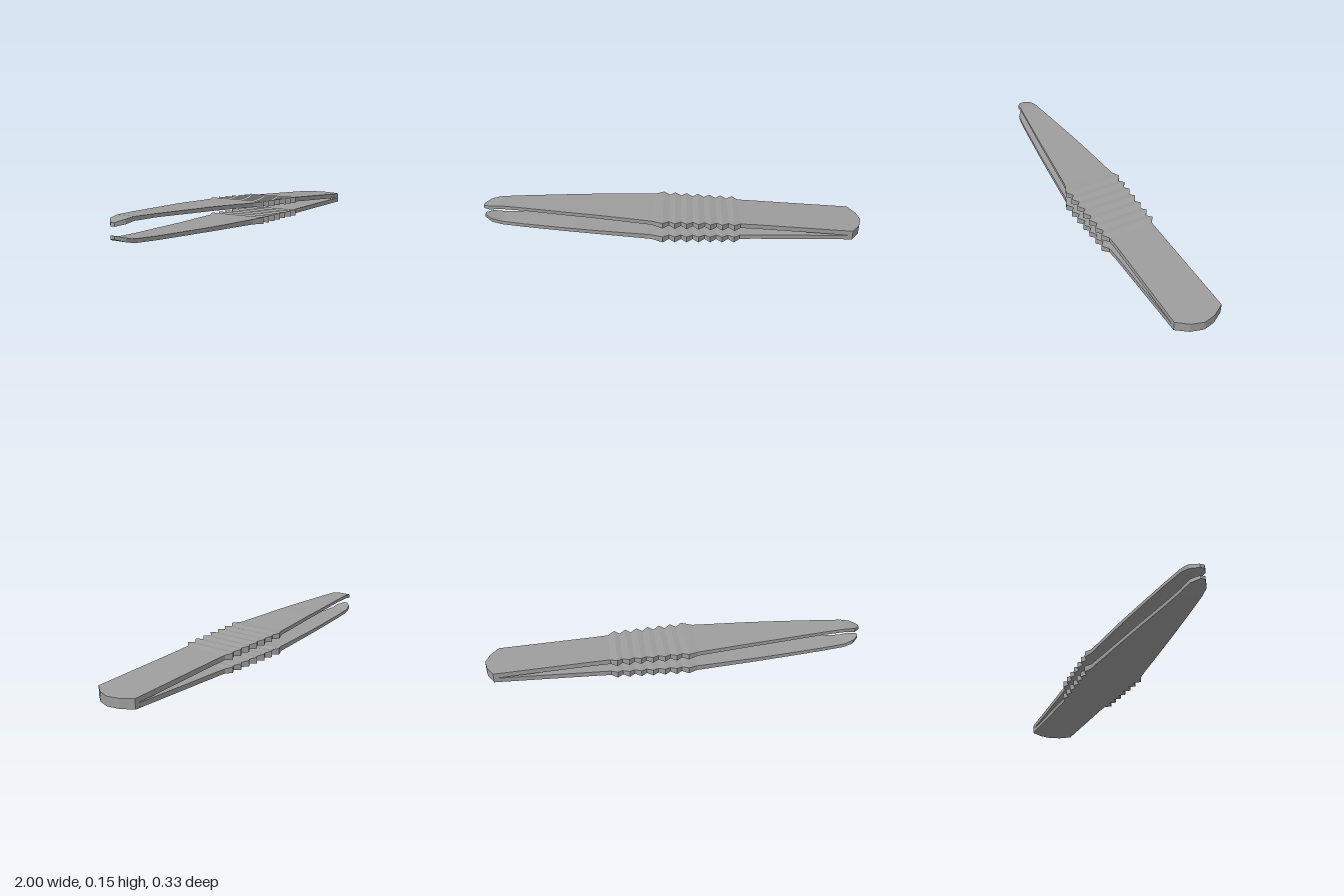
import * as THREE from 'three';

const material = new THREE.MeshStandardMaterial({ color: 0x9d9d9d, flatShading: true });

// Piecewise-linear lookup in a list of [x, value] points
function at(points, x) {
  for (let i = 1; i < points.length; i++) {
    const [x0, v0] = points[i - 1], [x1, v1] = points[i];
    if (x <= x1) return v0 + (v1 - v0) * (x - x0) / (x1 - x0);
  }
  return points[points.length - 1][1];
}

// Solid through rectangular sections { x, back, front, bottom, top, skew }
function loft(name, sections) {
  const pos = [], index = [];
  for (const s of sections) {
    const xb = s.x - (s.skew || 0);
    pos.push(s.x, s.bottom, s.front, xb, s.bottom, s.back, xb, s.top, s.back, s.x, s.top, s.front);
  }
  for (let i = 0; i < sections.length - 1; i++) {
    for (let k = 0; k < 4; k++) {
      const a = i * 4 + k, b = i * 4 + (k + 1) % 4;
      index.push(a, b, a + 4, b, b + 4, a + 4);
    }
  }
  const e = (sections.length - 1) * 4;
  index.push(0, 3, 2, 0, 2, 1, e, e + 1, e + 2, e, e + 2, e + 3);
  const geo = new THREE.BufferGeometry();
  geo.setAttribute('position', new THREE.Float32BufferAttribute(pos, 3));
  geo.setIndex(index);
  const flat = geo.toNonIndexed();
  flat.computeVertexNormals();
  const mesh = new THREE.Mesh(flat, material);
  mesh.name = name;
  return mesh;
}

// Plan outline shared by both arms
const back = [[-1, 0.035], [-0.97, 0.002], [-0.93, -0.01], [-0.55, -0.071], [-0.12, -0.136], [0.37, -0.139], [0.94, -0.166]];
const front = [[-1, 0.058], [-0.96, 0.083], [-0.55, 0.114], [-0.1, 0.142], [-0.01, 0.135], [0.43, 0.1], [0.95, 0.08]];

// Side profiles of the two arms
const upper = {
  top: [[-1, 0.132], [-0.96, 0.143], [-0.91, 0.149], [-0.78, 0.147], [-0.4, 0.136], [-0.1, 0.122], [0.33, 0.102], [0.92, 0.064]],
  bottom: [[-1, 0.114], [-0.91, 0.13], [-0.78, 0.13], [-0.4, 0.116], [-0.1, 0.1], [0.33, 0.077], [0.92, 0.038]],
};
const lower = {
  top: [[-1, 0.075], [-0.91, 0.053], [-0.78, 0.047], [-0.4, 0.039], [-0.1, 0.037], [0.33, 0.03], [0.92, 0.036]],
  bottom: [[-1, 0.059], [-0.96, 0.045], [-0.91, 0.034], [-0.78, 0.028], [-0.4, 0.018], [-0.1, 0.011], [0.33, 0.006], [0.92, 0.012]],
};

function arm(name, profile) {
  const section = (x, tooth = 0, skew = 0) => ({
    x, skew,
    back: at(back, x) - 0.021 * tooth,
    front: at(front, x) + 0.027 * tooth,
    bottom: at(profile.bottom, x) - 0.003 * tooth,
    top: at(profile.top, x) + 0.005 * tooth,
  });
  const sections = [-1, -0.97, -0.96, -0.93, -0.91, -0.78, -0.55, -0.4, -0.1].map((x) => section(x));
  // Grip: seven ridges running across the arm and out to toothed edges
  for (let i = 0; i < 7; i++) {
    const x = -0.04 + 0.0615 * i;
    sections.push(section(x, 1, 0.015), section(x + 0.031, 0, 0.012));
  }
  sections.push(section(0.43), section(0.92));
  return loft(name, sections);
}

export function createModel() {
  const group = new THREE.Group();
  group.name = 'tweezers';
  group.add(arm('upperArm', upper), arm('lowerArm', lower));

  // Solid rounded end joining the arms
  const plan = [[0.92, -0.165, 0.081], [0.945, -0.166, 0.08], [0.985, -0.105, 0.02], [1, -0.05, -0.04]];
  group.add(loft('joinedEnd', plan.map(([x, zb, zf]) => ({
    x, back: zb, front: zf, bottom: 0.012, top: 0.06 + 0.05 * (1 - x),
  }))));
  return group;
}
